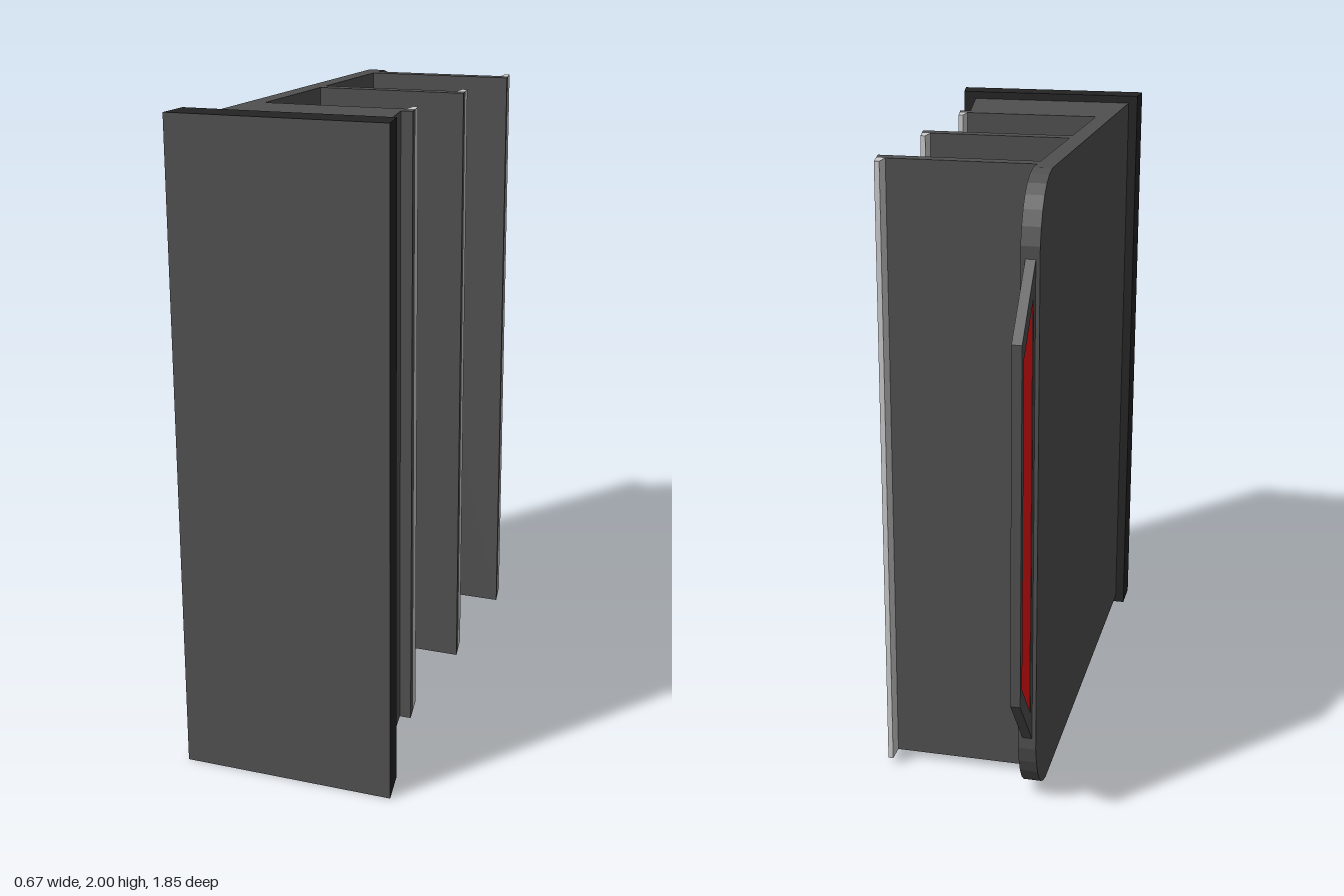
import * as THREE from 'three';

const paint = (color) => new THREE.MeshStandardMaterial({ color, flatShading: true });

// Outline of [x, z] points raised from y0 to y1
function upright(points, y0, y1) {
  const shape = new THREE.Shape(points.map(([x, z]) => new THREE.Vector2(x, -z)));
  return new THREE.ExtrudeGeometry(shape, { depth: y1 - y0, bevelEnabled: false })
    .rotateX(-Math.PI / 2).translate(0, y0, 0);
}

// Shape drawn in (z, y), given thickness from x0 to x1
function sidePlate(shape, x0, x1) {
  return new THREE.ExtrudeGeometry(shape, { depth: x1 - x0, bevelEnabled: false, curveSegments: 6 })
    .rotateY(-Math.PI / 2).translate(x1, 0, 0);
}

// Trapezoid in (z, y), symmetric about mid height
function trapezoid(zIn, halfIn, zOut, halfOut) {
  return [[zIn, 1 - halfIn], [zIn, 1 + halfIn], [zOut, 1 + halfOut], [zOut, 1 - halfOut]]
    .map(([z, y]) => new THREE.Vector2(z, y));
}

export function createModel() {
  const group = new THREE.Group();
  const dark = paint(0x505050), black = paint(0x242424), red = paint(0xee1212), grey = paint(0xcccccc);
  const add = (name, geometry, material) => {
    const mesh = new THREE.Mesh(geometry, material);
    mesh.name = name;
    group.add(mesh);
  };
  const low = 0.025, high = 1.975;

  // Front plate: black slab with a tapered side and a dark face
  add('frontPlate', upright([[-0.333, 0.805], [0.31, 0.805], [0.333, 0.922], [-0.333, 0.922]], 0, 2), black);
  add('frontFace', new THREE.PlaneGeometry(0.666, 2).translate(0, 1, 0.924), dark);

  // Solid block behind the front plate
  add('frontBlock', upright([[-0.25, 0.44], [0.2, 0.44], [0.205, 0.48], [0.268, 0.81], [-0.25, 0.81]], low, high), dark);

  // Side wall with rounded rear corners
  const wall = new THREE.Shape();
  const r = 0.16, back = -0.755;
  wall.moveTo(0.81, low);
  wall.lineTo(0.81, high);
  wall.lineTo(back + r, high);
  wall.quadraticCurveTo(back + 0.03, high - 0.02, back, high - 0.19);
  wall.lineTo(back, low + 0.19);
  wall.quadraticCurveTo(back + 0.03, low + 0.02, back + r, low);
  add('sideWall', sidePlate(wall, -0.302, -0.246), dark);

  // Rear handle: frame with a red insert
  const frame = new THREE.Shape(trapezoid(-0.745, 0.76, -0.927, 0.55));
  frame.holes.push(new THREE.Path(trapezoid(-0.782, 0.645, -0.902, 0.505)));
  add('handleFrame', sidePlate(frame, -0.29, -0.26), dark);
  add('handleInsert', sidePlate(new THREE.Shape(trapezoid(-0.782, 0.645, -0.902, 0.505)), -0.288, -0.261), red);

  // Three fins, each with a light lip along its free edge
  for (const z of [0.485, 0.003, -0.487]) {
    add('fin', upright([[-0.25, z - 0.05], [0.233, z - 0.05], [0.243, z], [-0.25, z]], low, high), dark);
    add('finLip', upright([[0.205, z - 0.11], [0.221, z - 0.11], [0.233, z - 0.05], [0.205, z - 0.05]], low, high), grey);
  }
  return group;
}
